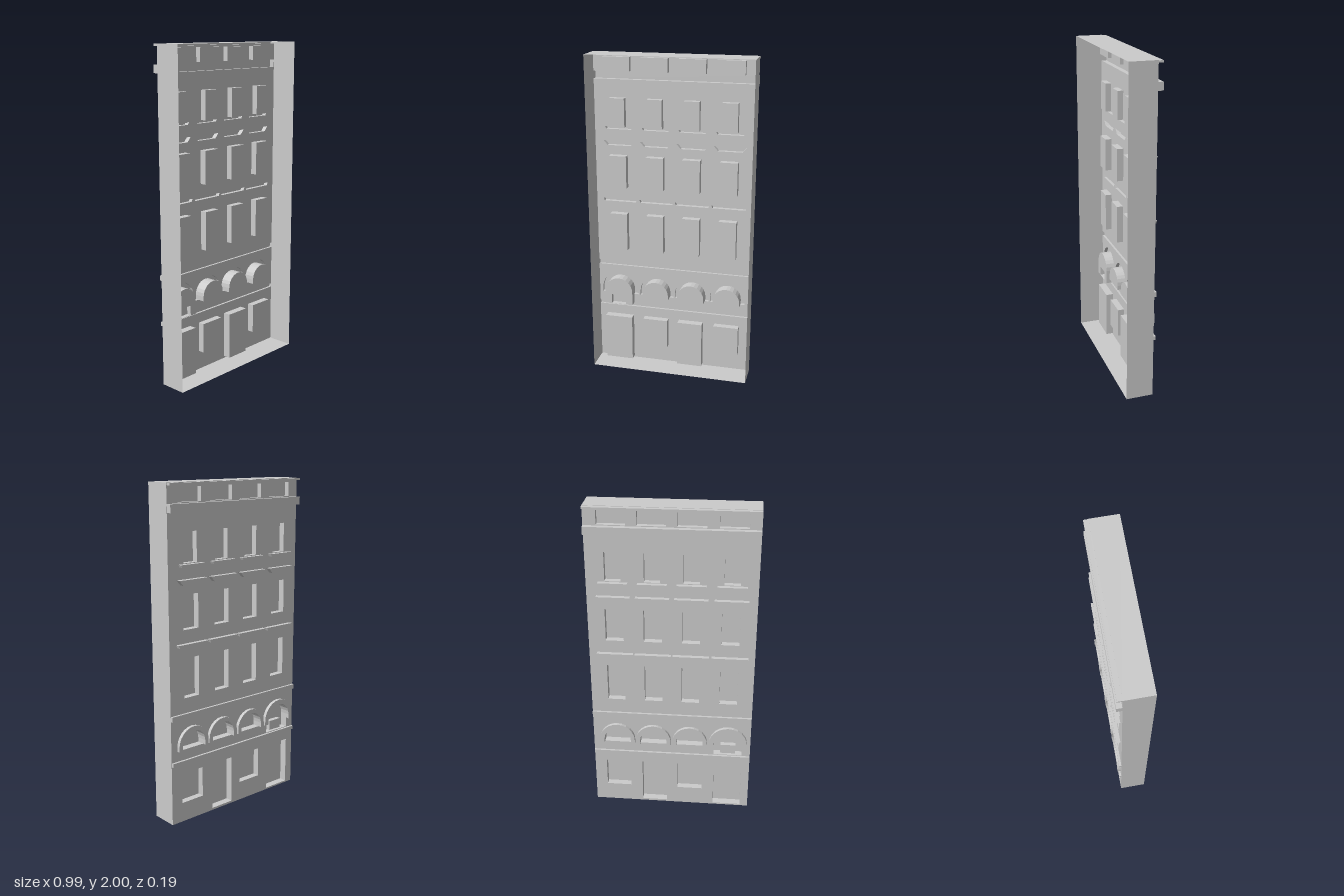
import * as THREE from 'three';
import { mergeGeometries } from 'three/addons/utils/BufferGeometryUtils.js';

const WALL = -0.066;   // plane of the facade, which looks toward -z
const BACK = 0.098;    // open rim of the shell

const material = new THREE.MeshStandardMaterial({
  color: 0xcccccc, flatShading: true, side: THREE.DoubleSide,
});

const toPoints = (list) => list.map(([x, y]) => new THREE.Vector2(x, y));
const rect = (x0, x1, y0, y1) => [[x0, y0], [x1, y0], [x1, y1], [x0, y1]];

// Ledge outline whose lower edge is drawn in at both ends
const ledge = (x0, x1, y0, y1, inset) =>
  [[x0 + inset, y0], [x1 - inset, y0], [x1, y1], [x0, y1]];

// Half circle from right to left, around (cx, cy)
function arc(cx, cy, r, segments = 12) {
  return Array.from({ length: segments + 1 }, (_, i) => {
    const a = (Math.PI * i) / segments;
    return [cx + r * Math.cos(a), cy + r * Math.sin(a)];
  });
}

// Open tray: side walls from zOpen to zCap, closed at zCap by a face with holes
function tray(outline, zOpen, zCap, holes = []) {
  const shape = new THREE.Shape(toPoints(outline));
  holes.forEach((h) => shape.holes.push(new THREE.Path(toPoints(h))));
  const cap = new THREE.ShapeGeometry(shape).toNonIndexed();
  cap.translate(0, 0, zCap);
  cap.deleteAttribute('uv');

  const pos = [];
  outline.forEach(([ax, ay], i) => {
    const [bx, by] = outline[(i + 1) % outline.length];
    pos.push(ax, ay, zOpen, bx, by, zOpen, bx, by, zCap);
    pos.push(ax, ay, zOpen, bx, by, zCap, ax, ay, zCap);
  });
  const sides = new THREE.BufferGeometry();
  sides.setAttribute('position', new THREE.Float32BufferAttribute(pos, 3));
  sides.computeVertexNormals();
  return mergeGeometries([cap, sides]);
}

export function createModel() {
  const model = new THREE.Group();
  const wallHoles = [];

  const add = (name, geometry) => {
    const mesh = new THREE.Mesh(geometry, material);
    mesh.name = name;
    model.add(mesh);
  };
  // A hollow relief pressed into (z > WALL) or out of (z < WALL) the facade
  const relief = (name, outline, z, holes) => {
    wallHoles.push(outline);
    add(name, tray(outline, WALL, z, holes));
  };

  // Full-width mouldings: bottom, top, projection
  [
    ['groundFloorBand', 0.37, 0.393, -0.08],
    ['archFloorBand', 0.65, 0.68, -0.08],
    ['cornice', 1.84, 1.887, -0.097],
    ['parapetCoping', 1.986, 1.998, -0.094],
  ].forEach(([name, y0, y1, z]) => relief(name, rect(-0.496, 0.496, y0, y1), z));

  // Rows of recessed openings: centres, half width, bottom, top, depth plane
  const columns = [-0.347, -0.115, 0.112, 0.34];
  [
    ['secondFloorWindow', 0.054, 0.772, 1.01, -0.025],
    ['thirdFloorWindow', 0.054, 1.177, 1.38, -0.025],
    ['fourthFloorWindow', 0.047, 1.557, 1.732, -0.03],
    ['parapetPanel', 0.082, 1.892, 1.975, -0.035],
  ].forEach(([name, w, y0, y1, z]) =>
    columns.forEach((x) => relief(name, rect(x - w, x + w, y0, y1), z)));

  // Rows of ledges: half width, bottom, top, end inset, projection
  [
    ['secondFloorHood', 0.109, 1.08, 1.098, 0.008, -0.092],
    ['thirdFloorHood', 0.099, 1.437, 1.467, 0.026, -0.094],
    ['fourthFloorSill', 0.086, 1.538, 1.553, 0.008, -0.093],
  ].forEach(([name, w, y0, y1, inset, z]) =>
    columns.forEach((x) => relief(name, ledge(x - w, x + w, y0, y1, inset), z)));

  // Ground floor doors and windows
  relief('door', rect(-0.447, -0.27, 0.01, 0.307), -0.02);
  relief('door', rect(0.032, 0.19, 0.013, 0.307), -0.02);
  relief('shopWindow', rect(-0.196, -0.037, 0.12, 0.307), -0.025);
  relief('shopWindow', rect(0.265, 0.423, 0.12, 0.307), -0.025);

  // Arched windows: centre, outer radius, inner radius, foot of the opening
  const springY = 0.485, ringFoot = 0.457;
  [
    [-0.356, 0.12, 0.09, 0.397],
    [-0.114, 0.109, 0.084, ringFoot],
    [0.115, 0.11, 0.084, ringFoot],
    [0.343, 0.11, 0.084, ringFoot],
  ].forEach(([x, R, r, foot]) => {
    const outer = [[x + R, ringFoot], ...arc(x, springY, R), [x - R, ringFoot]];
    const inner = [[x + r, foot], ...arc(x, springY, r), [x - r, foot]];
    const innerEdge = [[x - r, ringFoot], ...arc(x, springY, r).reverse(), [x + r, ringFoot]];
    const depth = -0.02;
    const tall = foot < ringFoot;

    // Opening in the wall takes in both the surround and the recess
    wallHoles.push(tall
      ? [...outer, [x - r, ringFoot], [x - r, foot], [x + r, foot], [x + r, ringFoot]]
      : outer);
    add('archSurround', tray([...outer, ...innerEdge], WALL, -0.087));

    // The tall arch holds a small block at its foot
    const block = rect(x - 0.047, x + 0.047, foot + 0.002, 0.46);
    add('archRecess', tray(inner, WALL, depth, tall ? [block] : []));
    if (tall) add('archBlock', tray(block, depth, -0.05));
  });

  // Shell with roof, floor, side walls and the pierced facade, open behind
  add('buildingShell', tray(rect(-0.497, 0.497, 0, 2), BACK, WALL, wallHoles));

  return model;
}
